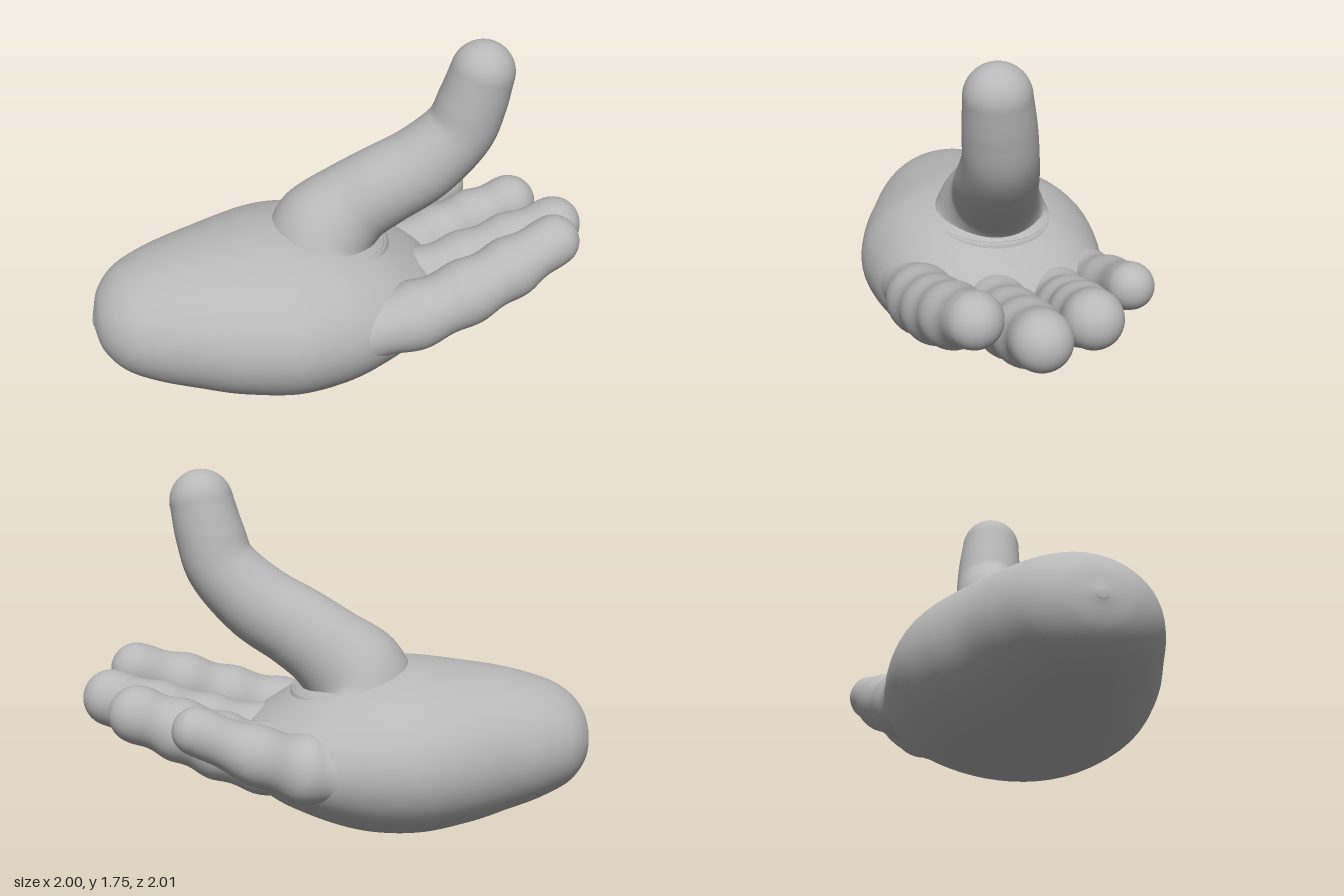
import * as THREE from 'three';

const skin = new THREE.MeshStandardMaterial({ color: 0xb8b8b8 });
skin.name = 'plain grey';

// Direction across the hand, from little finger to index finger
const ACROSS = new THREE.Vector3(1, 0, 1).normalize();

const spline = points => new THREE.CatmullRomCurve3(points, false, 'catmullrom', 0.5);

// Lofts ellipses along a smooth path with domed ends.
// nodes: [x, y, z, half width, half height]; bulge: swelling at each node
function loft(name, nodes, { capStart = 0.1, capEnd, bulge = 0, sides = 40, steps = 56 } = {}) {
  const path = spline(nodes.map(n => new THREE.Vector3(n[0], n[1], n[2])));
  const size = spline(nodes.map(n => new THREE.Vector3(n[3], n[4] ?? n[3], 0)));
  const spans = nodes.length - 1;
  const rings = [];
  const addRing = (t, shrink, offset) => {
    const dir = path.getTangent(t);
    const side = ACROSS.clone().addScaledVector(dir, -ACROSS.dot(dir)).normalize();
    const up = dir.clone().cross(side);
    const swell = shrink * (1 + bulge * (Math.cos(t * spans * Math.PI * 2) - 1));
    const s = size.getPoint(t).multiplyScalar(swell);
    rings.push({ c: path.getPoint(t).addScaledVector(dir, offset), side, up, s });
  };
  const capSteps = 14;
  const endLength = capEnd ?? nodes[spans][3];
  for (let i = 0; i < capSteps; i++) {
    const a = (1 - i / capSteps) * Math.PI / 2;
    addRing(0, Math.cos(a), -capStart * Math.sin(a));
  }
  for (let i = 0; i <= steps; i++) addRing(i / steps, 1, 0);
  for (let i = 1; i <= capSteps; i++) {
    const a = i / capSteps * Math.PI / 2;
    addRing(1, Math.cos(a), endLength * Math.sin(a));
  }

  const positions = [], index = [];
  rings.forEach(({ c, side, up, s }, i) => {
    for (let j = 0; j < sides; j++) {
      const a = j / sides * Math.PI * 2;
      const p = c.clone().addScaledVector(side, Math.cos(a) * s.x).addScaledVector(up, Math.sin(a) * s.y);
      positions.push(p.x, p.y, p.z);
      if (i === rings.length - 1) continue;
      const k = i * sides + j, l = i * sides + (j + 1) % sides;
      index.push(k, l, k + sides, l, l + sides, k + sides);
    }
  });
  const geometry = new THREE.BufferGeometry();
  geometry.setAttribute('position', new THREE.Float32BufferAttribute(positions, 3));
  geometry.setIndex(index);
  geometry.computeVertexNormals();
  const mesh = new THREE.Mesh(geometry, skin);
  mesh.name = name;
  return mesh;
}

// Palm section: distance along the hand, offset across it, half width, bottom, top
function palmNode([u, v, halfWidth, bottom, top]) {
  const k = Math.SQRT1_2;
  return [(u + v) * k, (bottom + top) / 2, (v - u) * k, halfWidth, (top - bottom) / 2];
}

export function createModel() {
  const hand = new THREE.Group();
  hand.name = 'hand';

  // Plump palm and rounded wrist, closing smoothly at both ends
  hand.add(loft('palm', [
    [-1.255, 0, 0.03, 0.405, 0.455],
    [-1.22, 0, 0.17, 0.29, 0.57],
    [-1.13, 0, 0.292, 0.195, 0.667],
    [-0.98, 0, 0.385, 0.13, 0.735],
    [-0.78, -0.005, 0.468, 0.075, 0.785],
    [-0.58, -0.015, 0.55, 0.03, 0.815],
    [-0.36, -0.03, 0.605, 0.001, 0.838],
    [-0.14, -0.045, 0.592, 0.015, 0.82],
    [0.05, -0.06, 0.548, 0.07, 0.768],
    [0.21, -0.07, 0.49, 0.145, 0.695],
    [0.34, -0.075, 0.405, 0.23, 0.62],
    [0.43, -0.075, 0.28, 0.31, 0.545],
    [0.48, -0.075, 0.03, 0.415, 0.44],
  ].map(palmNode), { capStart: 0.004, capEnd: 0.004, sides: 64, steps: 96 }));

  // Upright thumb, flared where it leaves the palm
  hand.add(loft('thumb', [
    [-0.1, 0.7, 0.03, 0.325],
    [-0.085, 0.79, 0.015, 0.26],
    [0.0, 0.9, -0.06, 0.214],
    [0.12, 1.0, -0.14, 0.2],
    [0.27, 1.115, -0.25, 0.19],
    [0.405, 1.28, -0.35, 0.172],
    [0.46, 1.44, -0.38, 0.165],
    [0.5, 1.6, -0.395, 0.152],
  ]));

  // Four fingers, each rooted inside the palm with a swelling per node
  const fingers = {
    indexFinger: [
      [0.23, 0.43, 0.27, 0.165], [0.435, 0.475, 0.065, 0.172], [0.605, 0.555, -0.14, 0.165],
      [0.745, 0.645, -0.33, 0.154], [0.87, 0.735, -0.52, 0.128]],
    middleFinger: [
      [0.08, 0.4, -0.05, 0.185], [0.27, 0.435, -0.25, 0.178], [0.44, 0.5, -0.44, 0.17],
      [0.6, 0.58, -0.62, 0.16], [0.75, 0.66, -0.78, 0.138]],
    ringFinger: [
      [-0.12, 0.4, -0.25, 0.185], [0.05, 0.43, -0.44, 0.178], [0.19, 0.5, -0.6, 0.165],
      [0.32, 0.58, -0.735, 0.152], [0.455, 0.655, -0.865, 0.137]],
    littleFinger: [
      [-0.33, 0.42, -0.28, 0.18], [-0.21, 0.44, -0.455, 0.168], [-0.095, 0.53, -0.65, 0.14],
      [0.075, 0.65, -0.845, 0.111]],
  };
  for (const [name, nodes] of Object.entries(fingers)) {
    hand.add(loft(name, nodes, { capStart: 0.12, bulge: 0.045 }));
  }
  return hand;
}
